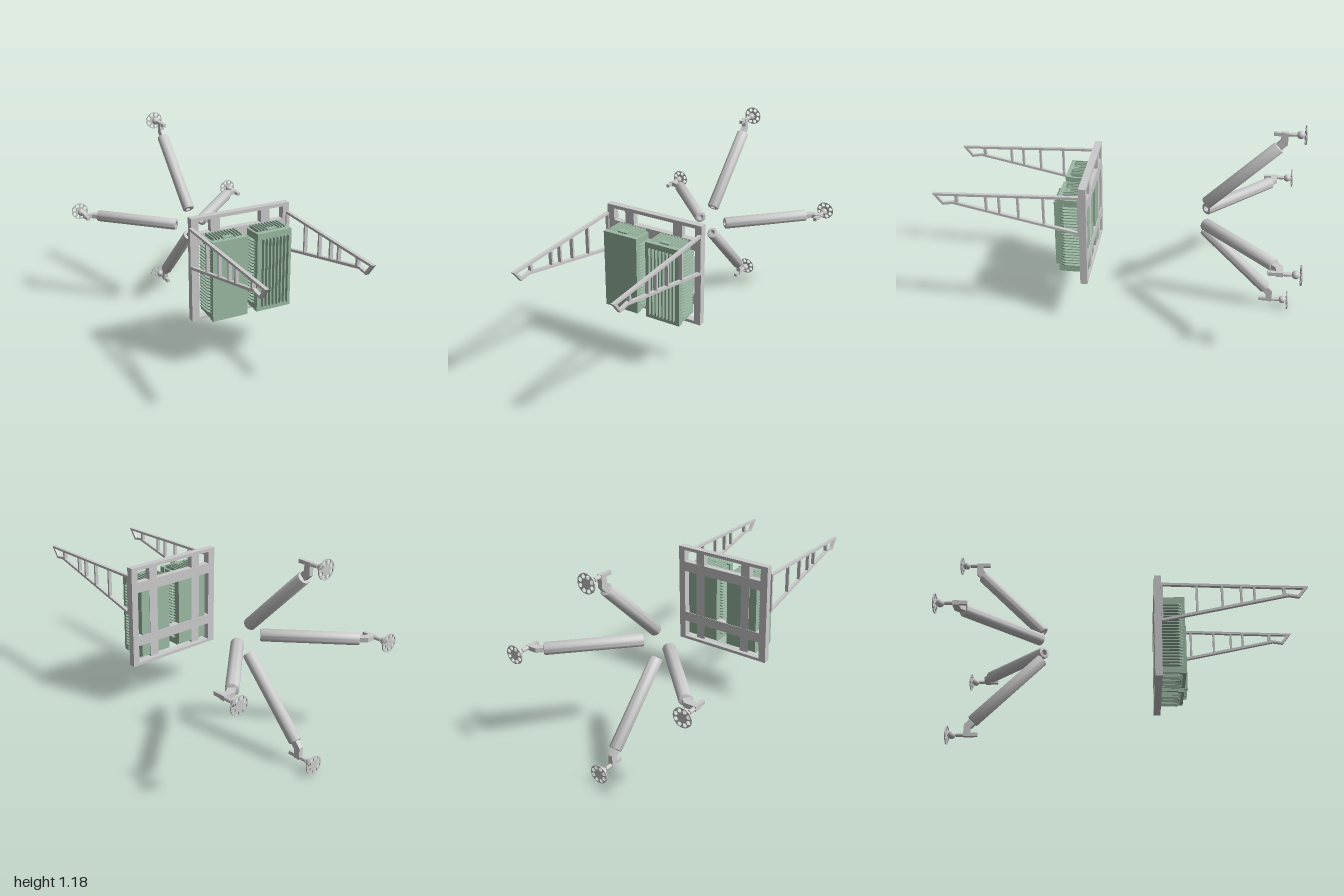
import * as THREE from 'three';
import { toCreasedNormals } from 'three/addons/utils/BufferGeometryUtils.js';

const grey = new THREE.MeshStandardMaterial({ color: 0xcccccc });
const green = new THREE.MeshStandardMaterial({ color: 0x9cbaa4 });

function add(parent, name, geometry, material = grey) {
  const mesh = new THREE.Mesh(geometry, material);
  mesh.name = name;
  parent.add(mesh);
  return mesh;
}

// Box given by its limits on each axis
function block(parent, name, x0, x1, y0, y1, z0, z1, material) {
  const mesh = add(parent, name, new THREE.BoxGeometry(x1 - x0, y1 - y0, z1 - z0), material);
  mesh.position.set((x0 + x1) / 2, (y0 + y1) / 2, (z0 + z1) / 2);
  return mesh;
}

const shapeOf = (pts) => new THREE.Shape(pts.map(([x, y]) => new THREE.Vector2(x, y)));
const extrude = (shape, depth) =>
  new THREE.ExtrudeGeometry(shape, { depth, bevelEnabled: false, curveSegments: 16 });

// Rectangular frame with cross bars and straps
function buildFrame() {
  const g = new THREE.Group();
  g.name = 'frame';
  const shape = shapeOf([[-0.305, 0.277], [0.305, 0.277], [0.305, 0.883], [-0.305, 0.883]]);
  shape.holes.push(shapeOf([[-0.26, 0.295], [0.265, 0.295], [0.265, 0.863], [-0.26, 0.863]]));
  add(g, 'frameBorder', extrude(shape, 0.04)).position.z = 0.15;
  block(g, 'upperCrossBar', -0.26, 0.265, 0.73, 0.79, 0.15, 0.188);
  block(g, 'lowerCrossBar', -0.26, 0.265, 0.4, 0.46, 0.15, 0.188);
  for (const x of [-0.186, 0.125]) block(g, 'strap', x, x + 0.056, 0.31, 0.863, 0.151, 0.187);
  return g;
}

// Finned box with a flat front plate; x is its centre
function buildPack(x, ridged) {
  const g = new THREE.Group();
  g.name = 'finnedPack';
  g.position.x = x;
  block(g, 'packCore', -0.1, 0.1, 0.325, 0.772, 0.154, 0.3, green);
  block(g, 'frontPlate', -0.107, 0.107, 0.318, 0.78, 0.285, 0.32, green);
  // Horizontal fins with chamfered front corners, standing out on both sides
  const sideFin = extrude(shapeOf([
    [-0.122, -0.188], [-0.122, -0.28], [-0.105, -0.308],
    [0.105, -0.308], [0.122, -0.28], [0.122, -0.188],
  ].reverse()), 0.006).rotateX(-Math.PI / 2);
  for (let i = 0; i < 21; i++) {
    add(g, 'sideFin', sideFin, green).position.y = 0.36 + i * 0.0183;
  }
  // Vertical fins standing out at top and bottom
  const endFin = extrude(shapeOf([
    [-0.188, 0.303], [-0.285, 0.303], [-0.31, 0.322],
    [-0.31, 0.772], [-0.285, 0.79], [-0.188, 0.79],
  ].reverse()), 0.006).rotateY(Math.PI / 2);
  for (let i = 0; i < 10; i++) {
    add(g, 'endFin', endFin, green).position.x = -0.086 + i * 0.0185;
  }
  for (const y of [0.306, 0.77]) block(g, 'connector', -0.03, 0.03, y, y + 0.018, 0.262, 0.295, green);
  if (ridged) {
    for (let i = 0; i < 8; i++) {
      const rx = -0.079 + i * 0.0222;
      block(g, 'frontRidge', rx, rx + 0.006, 0.347, 0.75, 0.318, 0.342, green);
    }
  }
  return g;
}

// Tapered lattice side arm, drawn in the z-y plane
function buildSideArm(x) {
  const outline = [[0.187, 0.595], [0.187, 0.832], [1.0, 0.803], [0.948, 0.735], [0.89, 0.745]];
  const shape = shapeOf(outline);
  const top = (z) => 0.82 - (z - 0.187) * 0.0357 - 0.002;
  const bottom = (z) => 0.61 + (z - 0.187) * 0.213;
  const posts = [0.192, 0.385, 0.525, 0.63, 0.703, 0.865];
  for (let i = 0; i < posts.length - 1; i++) {
    const a = posts[i] + 0.006, b = posts[i + 1] - 0.006;
    shape.holes.push(shapeOf([[a, bottom(a)], [b, bottom(b)], [b, top(b)], [a, top(a)]]));
  }
  shape.holes.push(shapeOf([[0.875, 0.76], [0.94, 0.749], [0.973, 0.791], [0.875, 0.794]]));
  const mesh = add(new THREE.Group(), 'sideArm', extrude(shape, 0.02).rotateY(-Math.PI / 2));
  mesh.position.x = x + 0.02;
  return mesh;
}

// Angled tube with bracket, rod and drilled disc; local y points outward
function buildLeg() {
  const g = new THREE.Group();
  g.name = 'thrusterLeg';
  const L = 0.53;
  const profile = [
    [0, 0.05], [0.017, 0.05], [0.017, 0], [0.029, 0], [0.033, 0.002], [0.035, 0.006],
    [0.035, L - 0.006], [0.033, L - 0.002], [0.029, L], [0, L],
  ].map(([r, y]) => new THREE.Vector2(r, y));
  const tube = add(g, 'tube', toCreasedNormals(new THREE.LatheGeometry(profile, 32), 0.6));
  tube.position.set(0, 0.085, -0.488);
  tube.rotation.x = -Math.PI / 4;

  // Bent bracket from the tube end to the rod
  const bracket = extrude(shapeOf([
    [0.835, 0.465], [0.868, 0.44], [0.905, 0.478], [0.905, 0.548], [0.872, 0.548], [0.868, 0.5],
  ]), 0.026);
  bracket.rotateY(Math.PI / 2);
  add(g, 'bracket', bracket).position.x = -0.013;

  const rod = add(g, 'rod', new THREE.CylinderGeometry(0.007, 0.007, 0.165, 16).rotateX(Math.PI / 2));
  rod.position.set(0, 0.537, -0.912);
  block(g, 'rodClamp', -0.01, 0.01, 0.527, 0.547, -0.875, -0.828);
  const collar = add(g, 'rodCollar', new THREE.CylinderGeometry(0.011, 0.011, 0.04, 16).rotateX(Math.PI / 2));
  collar.position.set(0, 0.537, -0.925);
  add(g, 'ballJoint', new THREE.SphereGeometry(0.022, 24, 16)).position.set(0, 0.537, -0.97);

  // Disc with a ring of holes
  const disc = new THREE.Shape().absarc(0, 0, 0.053, 0, Math.PI * 2);
  for (let i = 0; i < 8; i++) {
    const a = (i + 0.5) * Math.PI / 4;
    disc.holes.push(new THREE.Path().absarc(Math.cos(a) * 0.038, Math.sin(a) * 0.038, 0.011, 0, Math.PI * 2));
  }
  const foot = add(g, 'drilledDisc', toCreasedNormals(extrude(disc, 0.006), 0.6));
  foot.position.set(0, 0.537, -1);
  return g;
}

export function createModel() {
  const model = new THREE.Group();
  model.name = 'model';
  model.add(buildFrame());
  model.add(buildPack(-0.134, false), buildPack(0.138, true));
  model.add(buildSideArm(-0.315), buildSideArm(0.285));
  for (let i = 0; i < 4; i++) {
    const leg = buildLeg();
    leg.position.y = 0.593;
    leg.rotation.z = i * Math.PI / 2;
    model.add(leg);
  }
  return model;
}
